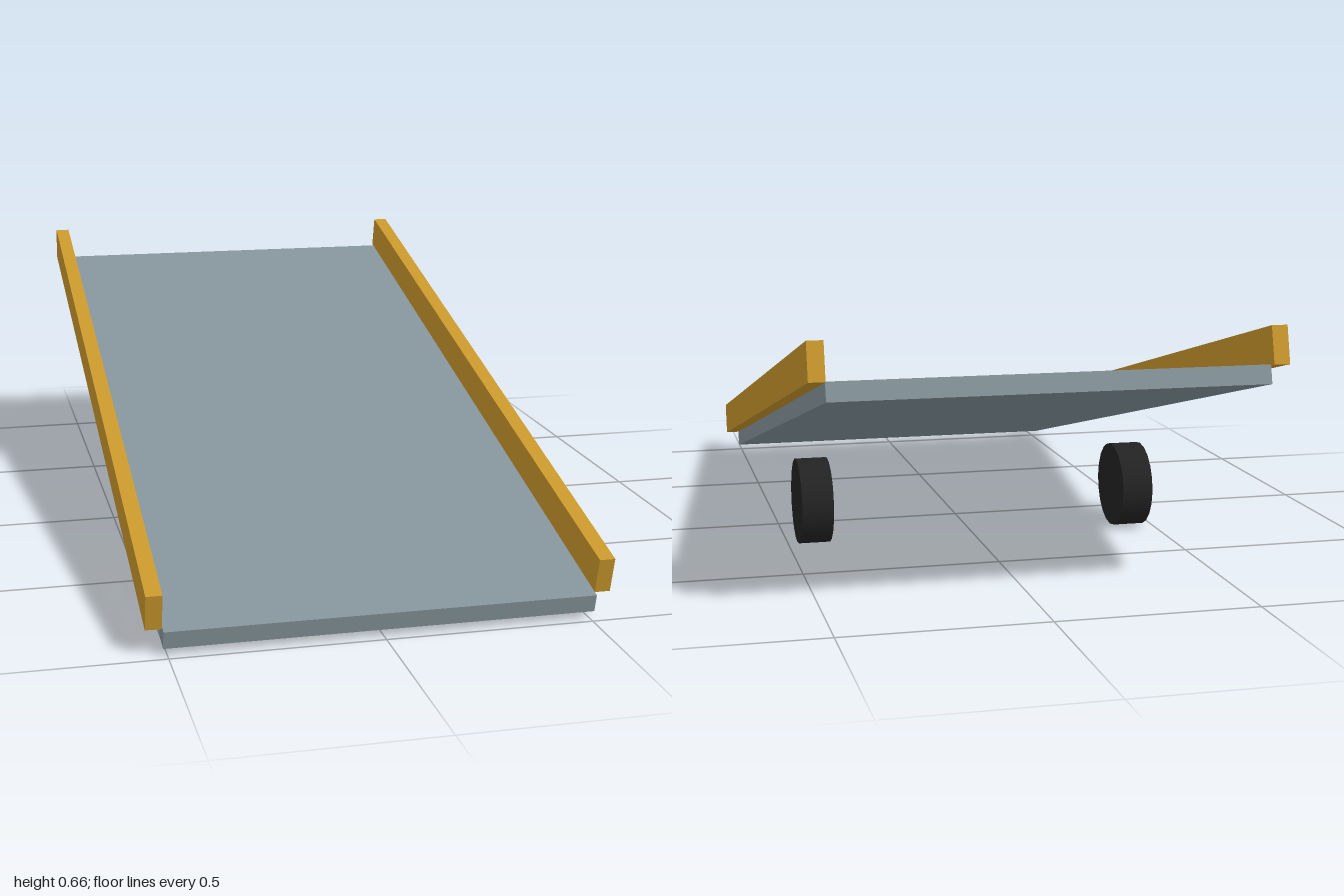
import * as THREE from 'three';

export function createModel() {
  const steel = new THREE.MeshStandardMaterial({ color: 0x84939a });
  steel.name = 'greySteel';
  const amber = new THREE.MeshStandardMaterial({ color: 0xc8962c });
  amber.name = 'amberPaint';
  const rubber = new THREE.MeshStandardMaterial({ color: 0x222222 });
  rubber.name = 'blackRubber';

  const model = new THREE.Group();
  model.name = 'loadingRamp';
  const slope = 0.25;
  const length = 2.041;

  const add = (name, geometry, material, x, y, z) => {
    const mesh = new THREE.Mesh(geometry, material);
    mesh.name = name;
    mesh.position.set(x, y, z);
    model.add(mesh);
    return mesh;
  };

  // Sloping deck, low at the front
  add('deck', new THREE.BoxGeometry(1.02, 0.045, length), steel, 0, 0.292, 0).rotation.x = slope;

  // Side rails and free-standing wheels, mirrored
  const railGeometry = new THREE.BoxGeometry(0.038, 0.09, length);
  const wheelGeometry = new THREE.CylinderGeometry(0.112, 0.112, 0.082, 20).rotateZ(Math.PI / 2);
  for (const [side, s] of [['left', 1], ['right', -1]]) {
    add(side + 'Rail', railGeometry, amber, s * 0.53, 0.359, 0).rotation.x = slope;
    add(side + 'Wheel', wheelGeometry, rubber, s * 0.433, 0.112, -0.2);
  }
  return model;
}
